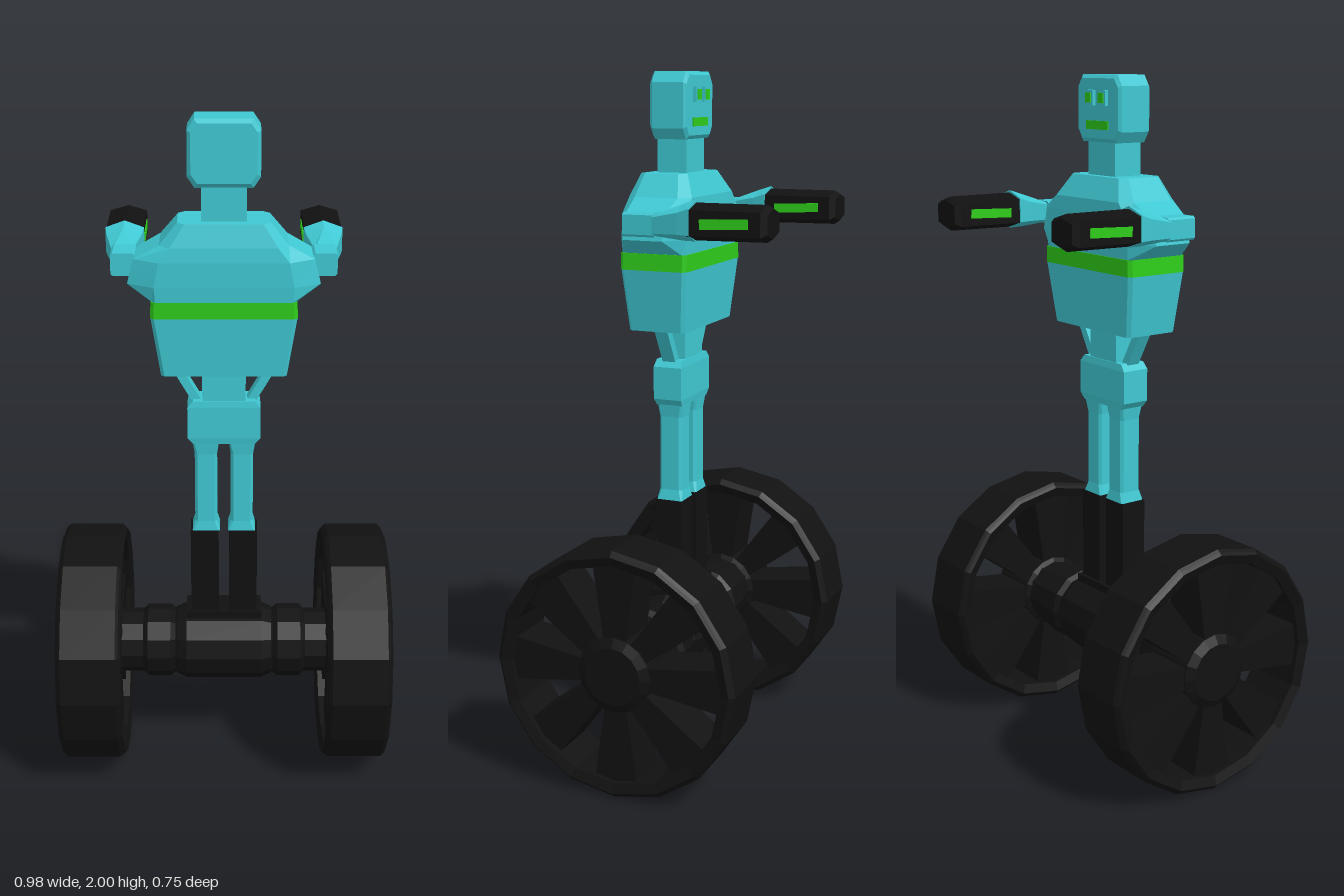
import * as THREE from 'three';

const mat = (color) => new THREE.MeshStandardMaterial({ color, flatShading: true });
const TAU = Math.PI * 2;

// Eight-cornered outline: half width hw, other axis from a0 to a1, corners cut by cx and ca
function octagon(hw, a0, a1, cx = 0, ca = cx) {
  return [
    [hw - cx, a1], [hw, a1 - ca], [hw, a0 + ca], [hw - cx, a0],
    [-hw + cx, a0], [-hw, a0 + ca], [-hw, a1 - ca], [-hw + cx, a1],
  ];
}

// Skin outlines into a closed solid. Each section is [t, hw, a0, a1, cx, ca]:
// upright solids run along +y, the others run along -z.
function loft(sections, upright = true, centreX = 0) {
  const rings = sections.map(([t, ...o]) => octagon(...o).map(([x, a]) =>
    upright ? [x + centreX, t, a] : [x + centreX, a, t]));
  const pos = [];
  const tri = (a, b, c) => pos.push(...a, ...b, ...c);
  for (let i = 0; i < rings.length - 1; i++) {
    for (let j = 0; j < 8; j++) {
      const k = (j + 1) % 8, r = rings[i], s = rings[i + 1];
      tri(r[j], r[k], s[k]);
      tri(r[j], s[k], s[j]);
    }
  }
  const first = rings[0], last = rings[rings.length - 1];
  for (let j = 1; j < 7; j++) {
    tri(first[0], first[j + 1], first[j]);
    tri(last[0], last[j], last[j + 1]);
  }
  const g = new THREE.BufferGeometry();
  g.setAttribute('position', new THREE.Float32BufferAttribute(pos, 3));
  g.computeVertexNormals();
  return g;
}

// Lathe turned so that its axis lies along x; points are [radius, offset]
function turned(points, sides) {
  return new THREE.LatheGeometry(points.map(([r, y]) => new THREE.Vector2(r, y)), sides).rotateZ(Math.PI / 2);
}

export function createModel() {
  const model = new THREE.Group();
  const skin = mat(0x3fc8d2), black = mat(0x111111), green = mat(0x2ecc1a);
  const add = (name, geometry, material, x = 0, y = 0, z = 0, parent = model) => {
    const m = new THREE.Mesh(geometry, material);
    m.name = name;
    m.position.set(x, y, z);
    parent.add(m);
    return m;
  };
  const box = (w, h, d) => new THREE.BoxGeometry(w, h, d);
  const axleY = 0.365, midZ = 0.01;

  // Wheels: faceted tyre, eight flaring spokes and a hub
  const tyre = turned([
    [0.322, -0.085], [0.35, -0.095], [0.358, -0.088], [0.365, -0.08],
    [0.365, 0.08], [0.358, 0.088], [0.35, 0.095], [0.322, 0.085], [0.322, -0.085],
  ], 16);
  const wedge = new THREE.Shape();
  const half = 0.2;
  wedge.moveTo(0.09, -0.032);
  wedge.lineTo(0.33 * Math.cos(half), -0.33 * Math.sin(half));
  wedge.lineTo(0.335, 0);
  wedge.lineTo(0.33 * Math.cos(half), 0.33 * Math.sin(half));
  wedge.lineTo(0.09, 0.032);
  const spoke = new THREE.ExtrudeGeometry(wedge, { depth: 0.14, bevelEnabled: false })
    .translate(0, 0, -0.07).rotateY(Math.PI / 2);
  const hub = turned([[0, -0.09], [0.085, -0.09], [0.11, -0.075], [0.11, 0.075], [0.085, 0.09], [0, 0.09]], 16);
  for (const side of [1, -1]) {
    const wheel = new THREE.Group();
    wheel.name = side > 0 ? 'leftWheel' : 'rightWheel';
    wheel.position.set(side * 0.397, axleY, midZ);
    add('tyre', tyre, black, 0, 0, 0, wheel);
    add('hub', hub, black, 0, 0, 0, wheel);
    for (let i = 0; i < 8; i++) add('spoke', spoke, black, 0, 0, 0, wheel).rotation.x = i * TAU / 8;
    model.add(wheel);
  }

  // Axle with stepped collars and a thicker middle housing
  const halfAxle = [[0.118, 0.115], [0.105, 0.145], [0.1, 0.15], [0.112, 0.165], [0.112, 0.235], [0.098, 0.25], [0.098, 0.33], [0, 0.33]];
  add('axle', turned([
    ...halfAxle.map(([r, x]) => [r, -x]).reverse(), ...halfAxle,
  ], 12), black, 0, axleY, midZ);
  add('axleBlock', box(0.23, 0.07, 0.1), black, 0, 0.46, midZ);

  // Legs: black lower halves, coloured upper halves
  for (const side of [1, -1]) {
    const x = side * 0.058;
    add('lowerLeg', box(0.084, 0.32, 0.08), black, x, 0.61, midZ);
    add('upperLeg', loft([
      [0.77, 0.041, -0.03, 0.05, 0.004],
      [0.80, 0.033, -0.025, 0.045, 0.008],
      [1.02, 0.033, -0.025, 0.045, 0.008],
      [1.07, 0.04, -0.03, 0.05, 0.004],
    ], true, side * 0.053), skin);
    // Slanted brace from hip to chest
    const brace = add('waistBrace', box(0.025, 0.17, 0.04), skin, side * 0.105, 1.23, midZ);
    brace.rotation.z = -side * 0.52;
  }
  add('hips', loft([
    [1.055, 0.09, -0.03, 0.05], [1.075, 0.106, -0.033, 0.053],
    [1.17, 0.106, -0.033, 0.053], [1.19, 0.09, -0.03, 0.05],
  ]), skin);
  add('waist', box(0.125, 0.13, 0.075), skin, 0, 1.235, midZ);

  // Torso: belly, glowing band, chest with wide shoulders
  add('belly', loft([[1.285, 0.178, -0.073, 0.097, 0.01], [1.46, 0.204, -0.088, 0.11, 0.01]]), skin);
  add('chestBand', loft([[1.46, 0.205, -0.089, 0.111, 0.01], [1.507, 0.203, -0.089, 0.111, 0.01]]), green);
  add('chest', loft([
    [1.507, 0.2, -0.086, 0.108, 0.01],
    [1.55, 0.268, -0.088, 0.11, 0.075, 0.04],
    [1.62, 0.25, -0.088, 0.11, 0.07, 0.04],
    [1.66, 0.178, -0.085, 0.105, 0.03],
    [1.722, 0.128, -0.055, 0.087, 0.02],
  ]), skin);

  // Neck and head; the face looks toward -z
  add('neck', box(0.125, 0.12, 0.09), skin, 0, 1.77, 0.013);
  add('head', loft([
    [0.067, 0.09, 1.828, 1.99, 0.018, 0.025],
    [0.057, 0.1, 1.815, 2.0, 0.02, 0.03],
    [-0.037, 0.1, 1.815, 2.0, 0.02, 0.03],
    [-0.045, 0.092, 1.825, 1.99, 0.018, 0.025],
  ], false), skin);
  for (const side of [1, -1]) {
    add('eyeFrame', box(0.038, 0.042, 0.016), skin, side * 0.029, 1.937, -0.048);
    add('eye', box(0.024, 0.028, 0.004), green, side * 0.029, 1.937, -0.057);
  }
  add('mouth', box(0.1, 0.024, 0.006), green, 0, 1.862, -0.046);

  // Arms reaching forward with black hands
  for (const side of [1, -1]) {
    const arm = new THREE.Group();
    arm.name = side > 0 ? 'leftArm' : 'rightArm';
    add('upperArm', loft([
      [0.048, 0.034, 1.565, 1.63, 0.006], [-0.045, 0.034, 1.565, 1.63, 0.006],
    ], false, side * 0.281), skin, 0, 0, 0, arm);
    add('forearm', loft([
      [-0.04, 0.032, 1.57, 1.625, 0.006],
      [-0.12, 0.05, 1.558, 1.655, 0.048, 0.02],
      [-0.157, 0.056, 1.557, 1.667, 0.055, 0.02],
    ], false, side * 0.286), skin, 0, 0, 0, arm);
    add('hand', loft([
      [-0.15, 0.053, 1.56, 1.66, 0.053, 0.016],
      [-0.358, 0.055, 1.562, 1.66, 0.055, 0.016],
      [-0.374, 0.045, 1.572, 1.65, 0.045, 0.014],
    ], false, side * 0.286), black, 0, 0, 0, arm);
    // Glowing strips on both sides of the hand
    for (const s of [1, -1]) {
      add('handStrip', box(0.004, 0.026, 0.136), green, side * 0.286 + s * 0.055, 1.61, -0.256, arm).rotation.x = 0.04;
    }
    model.add(arm);
  }
  return model;
}
